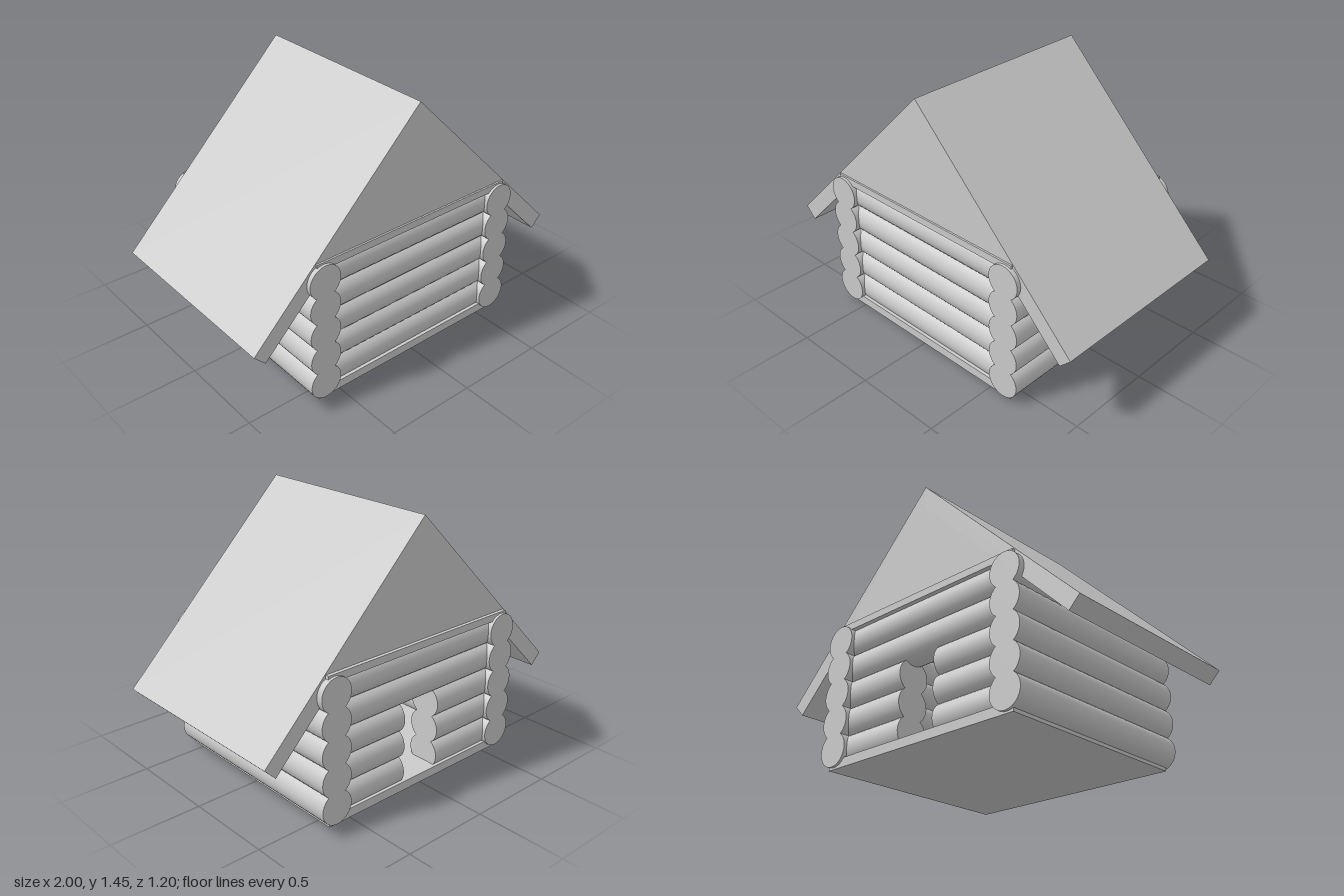
import * as THREE from 'three';

const material = new THREE.MeshStandardMaterial({ color: 0xcccccc });

const ROWS = 5, RADIUS = 0.093, FIRST_Y = 0.103, PITCH = 0.151;
const SIDE_X = 0.595, END_Z = 0.49, DOOR_HALF = 0.12, DOOR_ROWS = 3;
const ROOF_FRONT = 0.575, ROOF_BACK = -0.565;

function addMesh(parent, name, geometry, x = 0, y = 0, z = 0) {
  const mesh = new THREE.Mesh(geometry, material);
  mesh.name = name;
  mesh.position.set(x, y, z);
  parent.add(mesh);
  return mesh;
}

// Log lying along the x or z axis
function addLog(parent, name, axis, length, x, y, z) {
  const log = addMesh(parent, name, new THREE.CylinderGeometry(RADIUS, RADIUS, length, 32), x, y, z);
  if (axis === 'x') log.rotation.z = Math.PI / 2;
  else log.rotation.x = Math.PI / 2;
}

// Outline in x/y extruded over the depth of the roof
function roofExtrude(points) {
  const shape = new THREE.Shape(points.map(([x, y]) => new THREE.Vector2(x, y)));
  return new THREE.ExtrudeGeometry(shape, { depth: ROOF_FRONT - ROOF_BACK, bevelEnabled: false });
}

export function createModel() {
  const cabin = new THREE.Group();
  cabin.name = 'logCabin';

  // Floor and ceiling slabs
  addMesh(cabin, 'floor', new THREE.BoxGeometry(1.266, 0.05, 1.17), 0, 0.025, 0);
  addMesh(cabin, 'ceiling', new THREE.BoxGeometry(1.266, 0.04, 1.17), 0, 0.79, 0);

  // Stacked log walls, with a doorway through the lower rows at the back
  const walls = new THREE.Group();
  walls.name = 'logWalls';
  cabin.add(walls);
  for (let row = 0; row < ROWS; row++) {
    const y = FIRST_Y + row * PITCH;
    for (const side of [-1, 1]) addLog(walls, 'sideLog', 'z', 1.2, side * SIDE_X, y, 0);
    addLog(walls, 'frontLog', 'x', 2 * SIDE_X, 0, y, END_Z);
    if (row < DOOR_ROWS) {
      const length = SIDE_X - DOOR_HALF;
      for (const side of [-1, 1]) {
        addLog(walls, 'doorwayLog', 'x', length, side * (DOOR_HALF + length / 2), y, -END_Z);
      }
    } else {
      addLog(walls, 'backLog', 'x', 2 * SIDE_X, 0, y, -END_Z);
    }
  }

  // Pitched roof with square-cut eaves
  addMesh(cabin, 'roof', roofExtrude([
    [0, 1.45], [-1, 0.45], [-0.937, 0.387], [0, 1.324], [0.937, 0.387], [1, 0.45],
  ]), 0, 0, ROOF_BACK);

  // Attic gable filling the space under the roof
  addMesh(cabin, 'gable', roofExtrude([
    [0, 1.324], [-0.534, 0.79], [0.534, 0.79],
  ]), 0, 0, ROOF_BACK);

  return cabin;
}
